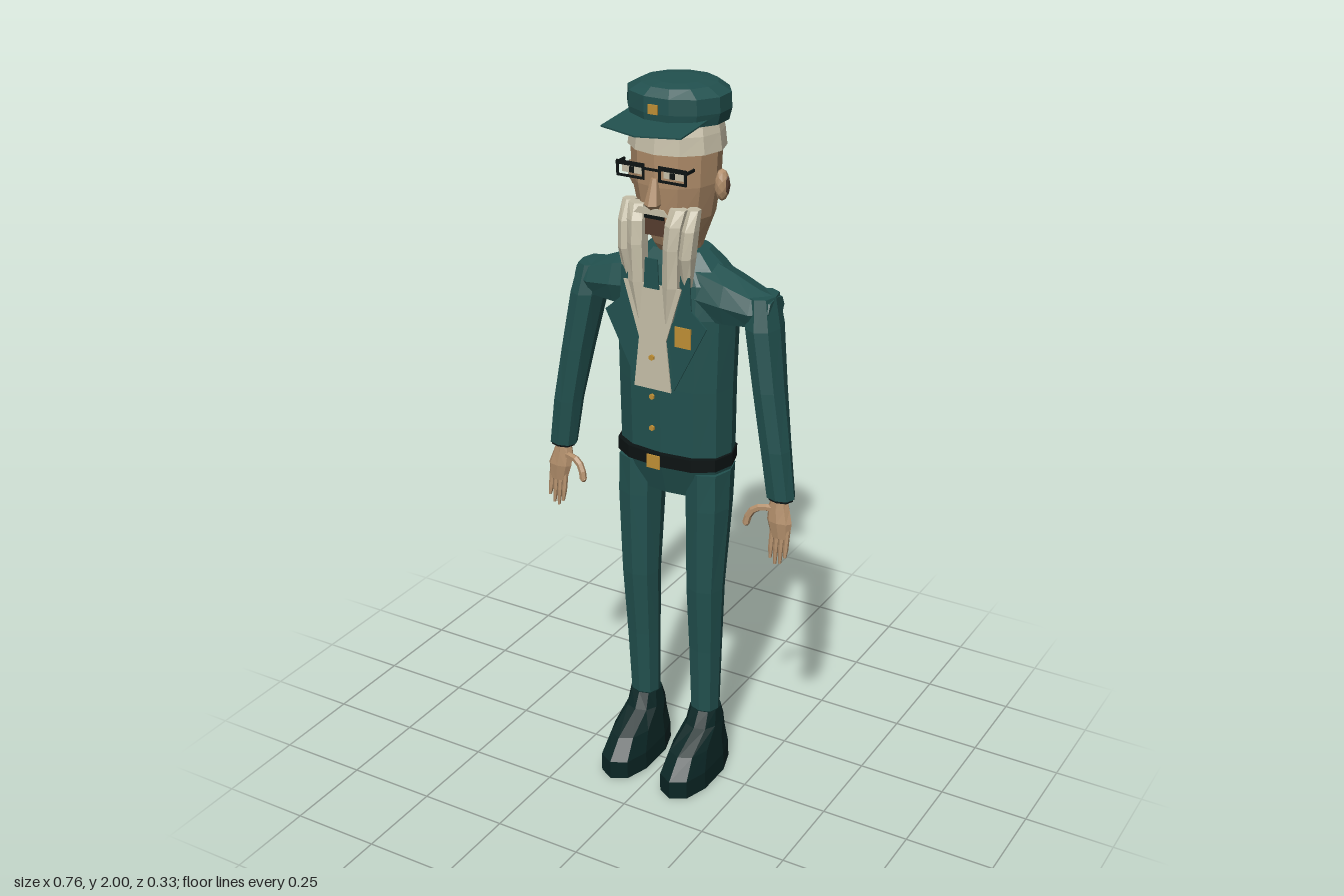
import * as THREE from 'three';

const mat = (name, color, extra = {}) =>
  Object.assign(new THREE.MeshStandardMaterial({ color, flatShading: true, ...extra }), { name });

export function createModel() {
  const model = new THREE.Group();
  model.name = 'uniformedMan';
  const D = { side: THREE.DoubleSide };
  const cloth = mat('tealCloth', 0x22514f, D);
  const shoe = mat('darkShoe', 0x0b2625);
  const skin = mat('skin', 0xb08d6a);
  const hair = mat('creamHair', 0xc6bfa8, D);
  const gold = mat('gold', 0xbf8f35);
  const black = mat('black', 0x0c1313);
  const mouthMat = mat('mouthBrown', 0x553c2e);

  const add = (parent, name, geo, material) => {
    const m = new THREE.Mesh(geo, material);
    m.name = name;
    parent.add(m);
    return m;
  };

  // Closed loft through elliptical rings [cx, y, cz, rx, rz], lowest first
  const loft = (rings, n = 8, pow = 1, turn = 0) => {
    const sq = (v) => Math.sign(v) * Math.abs(v) ** pow;
    const pts = rings.map(([cx, y, cz, rx, rz]) => Array.from({ length: n }, (_, i) => {
      const a = ((i + turn) / n) * Math.PI * 2;
      return [cx + rx * sq(Math.sin(a)), y, cz + rz * sq(Math.cos(a))];
    }));
    const pos = [];
    const tri = (...p) => p.forEach((q) => pos.push(...q));
    const last = rings.length - 1;
    for (let i = 0; i < n; i++) {
      const k = (i + 1) % n;
      for (let j = 0; j < last; j++) {
        tri(pts[j][i], pts[j][k], pts[j + 1][k]);
        tri(pts[j][i], pts[j + 1][k], pts[j + 1][i]);
      }
      const centre = (r) => [rings[r][0], rings[r][1], rings[r][2]];
      tri(centre(0), pts[0][k], pts[0][i]);
      tri(centre(last), pts[last][i], pts[last][k]);
    }
    const g = new THREE.BufferGeometry();
    g.setAttribute('position', new THREE.Float32BufferAttribute(pos, 3));
    g.computeVertexNormals();
    return g;
  };

  // Thin flat panel facing +z
  const plate = (pts, z, hole) => {
    const s = new THREE.Shape(pts.map((p) => new THREE.Vector2(...p)));
    if (hole) s.holes.push(new THREE.Path(hole.map((p) => new THREE.Vector2(...p))));
    return new THREE.ExtrudeGeometry(s, { depth: 0.004, bevelEnabled: false }).translate(0, 0, z);
  };
  const rect = (x0, x1, y0, y1) => [[x0, y0], [x1, y0], [x1, y1], [x0, y1]];

  // Jacket, hem and belt
  add(model, 'jacket', loft([
    [0, 0.88, -0.067, 0.14, 0.082], [0, 0.97, -0.053, 0.162, 0.095],
    [0, 1.2, -0.05, 0.165, 0.098], [0, 1.4, -0.052, 0.17, 0.1],
    [0, 1.49, -0.058, 0.165, 0.093], [0, 1.53, -0.06, 0.125, 0.08],
    [0, 1.565, -0.06, 0.085, 0.06],
  ], 12, 0.8), cloth);
  add(model, 'belt', loft([
    [0, 0.975, -0.047, 0.168, 0.107], [0, 1.01, -0.047, 0.168, 0.107],
  ], 12, 0.8), black);
  add(model, 'buckle', plate(rect(-0.02, 0.02, 0.98, 1.018), 0.08), gold);
  for (const y of [1.1, 1.19, 1.3]) {
    add(model, 'button', new THREE.CylinderGeometry(0.008, 0.008, 0.006, 6)
      .rotateX(Math.PI / 2).translate(0, y, 0.088), gold);
  }
  add(model, 'shirtFront', plate([
    [-0.055, 1.21], [0.055, 1.21], [0.04, 1.35], [0.052, 1.39], [0.085, 1.5],
    [0.02, 1.5], [-0.02, 1.5], [-0.085, 1.5], [-0.052, 1.39], [-0.04, 1.35],
  ], 0.08), hair);
  add(model, 'neckKnot', plate([[-0.022, 1.49], [0.022, 1.49], [0.018, 1.57], [-0.018, 1.57]], 0.085), cloth);
  add(model, 'chestBadge', plate(rect(0.068, 0.115, 1.345, 1.4), 0.085), gold);

  // Head, hair and face
  add(model, 'head', loft([
    [0, 1.55, -0.06, 0.055, 0.055], [0, 1.585, -0.052, 0.066, 0.078],
    [0, 1.66, -0.045, 0.097, 0.102], [0, 1.75, -0.04, 0.114, 0.11],
    [0, 1.84, -0.04, 0.118, 0.112],
  ], 12), skin);
  add(model, 'hair', loft([
    [0, 1.835, -0.043, 0.128, 0.117], [0, 1.88, -0.045, 0.121, 0.114], [0, 1.92, -0.05, 0.11, 0.105],
  ], 12), hair);
  add(model, 'nose', loft([
    [0, 1.695, 0.075, 0.012, 0.012], [0, 1.71, 0.08, 0.021, 0.023], [0, 1.775, 0.07, 0.009, 0.01],
  ], 6), skin);
  add(model, 'moustache', plate([
    [-0.05, 1.685], [-0.02, 1.685], [0.02, 1.685], [0.05, 1.685], [0.035, 1.702], [-0.035, 1.702],
  ], 0.085), hair);
  add(model, 'mouth', plate(rect(-0.028, 0.028, 1.625, 1.683), 0.066), mouthMat);
  add(model, 'mouthLine', plate(rect(-0.028, 0.028, 1.67, 1.68), 0.072), black);
  add(model, 'glassesBridge', plate(rect(-0.022, 0.022, 1.798, 1.804), 0.084), black);

  // Peaked cap
  add(model, 'cap', loft([
    [0, 1.905, -0.052, 0.13, 0.115], [0, 1.935, -0.052, 0.138, 0.119],
    [0, 1.975, -0.052, 0.136, 0.118], [0, 1.995, -0.052, 0.1, 0.098], [0, 2, -0.052, 0.06, 0.06],
  ], 12, 1, 0.5), cloth);
  const visor = new THREE.Shape([[-0.113, 0], [0.113, 0], [0.113, -0.137], [0, -0.167], [-0.113, -0.137]]
    .map((p) => new THREE.Vector2(...p)));
  add(model, 'capVisor', new THREE.ExtrudeGeometry(visor, { depth: 0.004, bevelEnabled: false })
    .rotateX(-Math.PI / 2).rotateX(0.09).translate(0, 1.918, 0), cloth);
  add(model, 'capBadge', plate(rect(-0.014, 0.014, 1.938, 1.962), 0.076), gold);

  // Paired parts, built on the model's left and mirrored
  for (const side of [1, -1]) {
    const half = new THREE.Group();
    half.name = side > 0 ? 'leftSide' : 'rightSide';
    half.scale.x = side;
    model.add(half);

    add(half, 'lapel', plate([
      [0.055, 1.21], [0.15, 1.4], [0.105, 1.44], [0.1, 1.53], [0.05, 1.53], [0.08, 1.49], [0.04, 1.35],
    ], 0.065), cloth);

    // Shoulder lies along x, so its loft is turned on its side
    add(half, 'shoulder', loft([
      [-1.46, 0.07, -0.055, 0.09, 0.085], [-1.45, 0.165, -0.045, 0.07, 0.075],
      [-1.44, 0.24, -0.042, 0.05, 0.062], [-1.445, 0.288, -0.045, 0.032, 0.045],
    ], 8, 0.85).rotateZ(-Math.PI / 2), cloth);
    add(half, 'sleeve', loft([
      [0.337, 0.945, -0.003, 0.039, 0.033], [0.318, 1.08, -0.005, 0.04, 0.04],
      [0.29, 1.24, -0.018, 0.041, 0.052], [0.262, 1.4, -0.035, 0.044, 0.062],
      [0.252, 1.48, -0.042, 0.036, 0.05],
    ], 8, 0.85), cloth);
    add(half, 'cuffLining', loft([
      [0.338, 0.938, -0.003, 0.034, 0.029], [0.337, 0.95, -0.003, 0.034, 0.029],
    ], 8, 0.85), black);

    // Hand with four fingers and a curved thumb
    add(half, 'palm', loft([
      [0.347, 0.835, 0.015, 0.027, 0.012], [0.342, 0.88, 0.012, 0.036, 0.018],
      [0.336, 0.915, 0.004, 0.031, 0.02], [0.335, 0.95, 0, 0.02, 0.018],
    ], 8), skin);
    for (let f = 0; f < 4; f++) {
      const x = 0.324 + f * 0.0145;
      const tip = [0.775, 0.76, 0.765, 0.785][f];
      add(half, 'finger', loft([
        [x + 0.001, tip, 0.027, 0.004, 0.005], [x, 0.805, 0.022, 0.007, 0.008],
        [x, 0.86, 0.013, 0.0075, 0.009],
      ], 6), skin);
    }
    const thumb = new THREE.CatmullRomCurve3([[0.325, 0.912, 0.01], [0.285, 0.91, 0.02], [0.263, 0.893, 0.027], [0.254, 0.862, 0.032]]
      .map((p) => new THREE.Vector3(...p)));
    add(half, 'thumb', new THREE.TubeGeometry(thumb, 5, 0.01, 6), skin);
    add(half, 'thumbTip', new THREE.IcosahedronGeometry(0.01, 0).translate(0.254, 0.862, 0.032), skin);

    // Leg and shoe
    add(half, 'trouserLeg', loft([
      [0.098, 0.18, -0.04, 0.04, 0.038], [0.1, 0.4, -0.034, 0.046, 0.044],
      [0.102, 0.6, -0.027, 0.052, 0.053], [0.105, 0.85, -0.038, 0.06, 0.069],
      [0.104, 0.96, -0.045, 0.06, 0.075],
    ], 8, 0.85), cloth);
    add(half, 'shoe', loft([
      [0.097, 0, 0.018, 0.068, 0.147], [0.097, 0.055, 0.02, 0.067, 0.146],
      [0.097, 0.11, 0.003, 0.057, 0.115], [0.097, 0.155, -0.038, 0.049, 0.064],
      [0.098, 0.2, -0.041, 0.043, 0.043],
    ], 10, 0.85), shoe);

    // Ear, eye and glasses
    add(half, 'ear', new THREE.IcosahedronGeometry(1, 1).scale(0.02, 0.042, 0.021)
      .translate(0.125, 1.745, -0.05), skin);
    add(half, 'earHollow', new THREE.IcosahedronGeometry(1, 0).scale(0.006, 0.026, 0.01)
      .translate(0.142, 1.747, -0.048), mouthMat);
    add(half, 'eye', plate(rect(0.032, 0.088, 1.782, 1.8), 0.076), hair);
    add(half, 'pupil', plate(rect(0.052, 0.064, 1.784, 1.799), 0.081), black);
    add(half, 'glassesFrame', plate(rect(0.02, 0.1, 1.772, 1.813), 0.084,
      rect(0.026, 0.094, 1.778, 1.802)), black);
    add(half, 'glassesArm', new THREE.BoxGeometry(0.005, 0.007, 0.04).translate(0.1, 1.805, 0.068), black);

    // Two beard locks
    add(half, 'outerBeardLock', loft([
      [0.085, 1.5, 0.055, 0.014, 0.012], [0.088, 1.58, 0.06, 0.021, 0.03],
      [0.092, 1.65, 0.052, 0.021, 0.028], [0.093, 1.7, 0.035, 0.019, 0.018],
    ], 6), hair);
    add(half, 'innerBeardLock', loft([
      [0.04, 1.4, 0.073, 0.013, 0.012], [0.05, 1.5, 0.071, 0.025, 0.025],
      [0.052, 1.6, 0.068, 0.025, 0.031], [0.055, 1.66, 0.063, 0.026, 0.028],
      [0.06, 1.7, 0.052, 0.025, 0.018],
    ], 6), hair);
  }
  return model;
}
